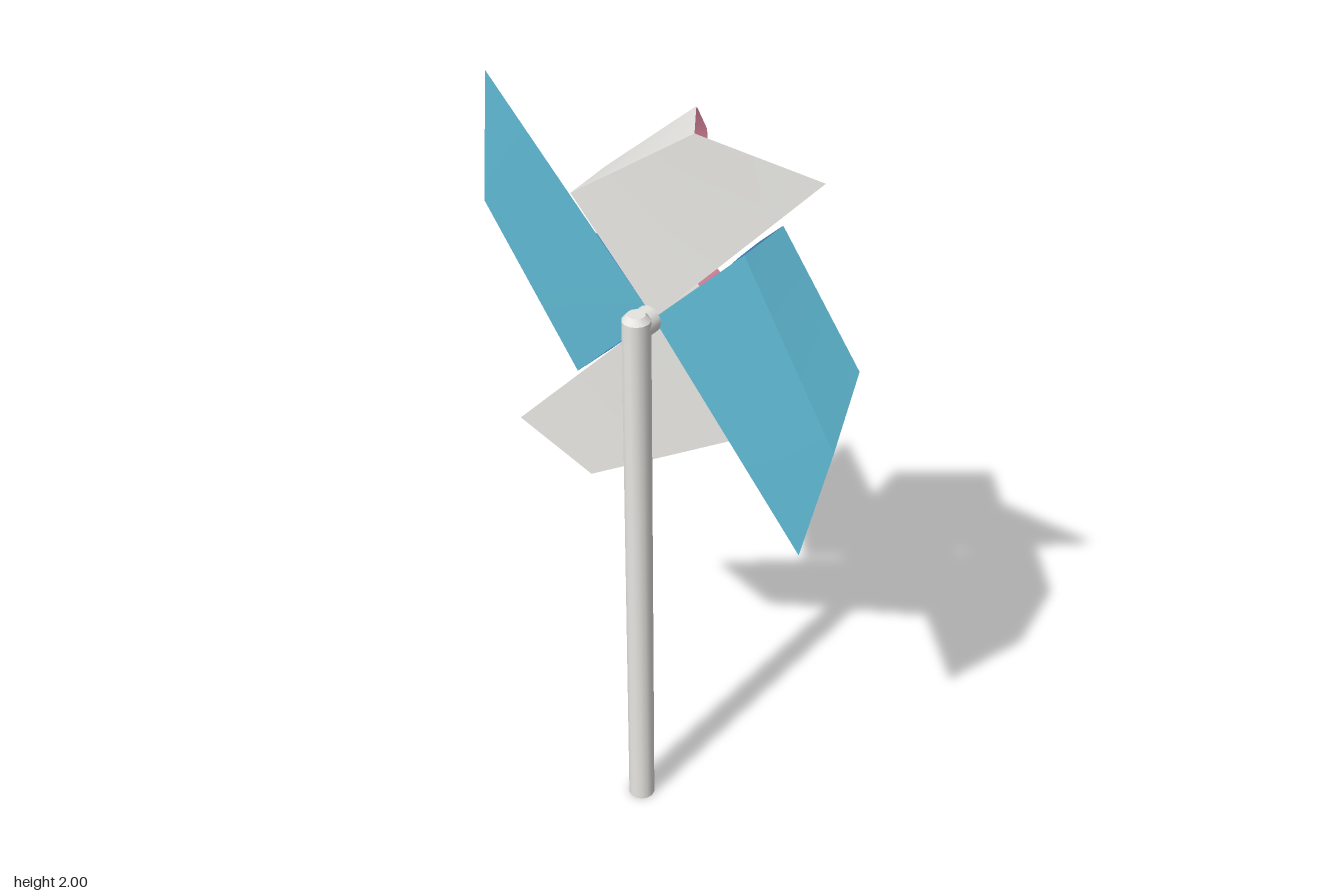
import * as THREE from 'three';
import { toCreasedNormals } from 'three/addons/utils/BufferGeometryUtils.js';

const HUB_Y = 1.5;
const mat = (color) => new THREE.MeshStandardMaterial({ color });
const WHITE = mat(0xe6e5e1), PINK = mat(0xe08aa2), BLUE = mat(0x3f86c0), CYAN = mat(0x5fb9d3);

function add(group, name, geometry, material) {
  const mesh = new THREE.Mesh(geometry, material);
  mesh.name = name;
  group.add(mesh);
  return mesh;
}

// One side of a curled paper sail, ruled between the rim edge and the inner edge.
// Points are [x, u, v]: x along the axle, u and v across the wheel.
function sailSide(rows, turn, inside) {
  const c = Math.cos(turn), s = Math.sin(turn), n = 4;
  const position = [], index = [];
  for (const [rim, inner] of rows) {
    for (let j = 0; j <= n; j++) {
      const [x, u, v] = rim.map((a, k) => a + (inner[k] - a) * j / n);
      position.push(x, HUB_Y - u * s + v * c, -(u * c + v * s));
    }
  }
  for (let i = 0; i < rows.length - 1; i++) {
    for (let j = 0; j < n; j++) {
      const a = i * (n + 1) + j, b = a + 1, d = a + n + 1, e = d + 1;
      if (inside) index.push(a, b, d, b, e, d);
      else index.push(a, d, b, b, d, e);
    }
  }
  const geo = new THREE.BufferGeometry();
  geo.setAttribute('position', new THREE.Float32BufferAttribute(position, 3));
  geo.setIndex(index);
  if (inside) {
    // paper thickness
    geo.computeVertexNormals();
    const p = geo.attributes.position, m = geo.attributes.normal;
    for (let i = 0; i < p.count; i++) {
      p.setXYZ(i, p.getX(i) + m.getX(i) * 0.003, p.getY(i) + m.getY(i) * 0.003, p.getZ(i) + m.getZ(i) * 0.003);
    }
  }
  return toCreasedNormals(geo, 0.6);
}

export function createModel() {
  const model = new THREE.Group();
  model.name = 'pinwheel';

  // Stick with a slightly bevelled top, and the short arm that carries the wheel
  const profile = [[0, 0], [0.035, 0], [0.035, 1.515], [0.022, 1.53], [0, 1.53]]
    .map(([r, y]) => new THREE.Vector2(r, y));
  const stick = add(model, 'stick', toCreasedNormals(new THREE.LatheGeometry(profile, 14), 0.6), WHITE);
  stick.position.set(-0.113, 0, -0.013);
  const arm = add(model, 'stickArm', new THREE.CylinderGeometry(0.034, 0.034, 0.055, 14), WHITE);
  arm.rotation.z = Math.PI / 2;
  arm.position.set(-0.088, 1.494, -0.013);

  // Axle and hub button
  const axle = add(model, 'axle', new THREE.CylinderGeometry(0.01, 0.01, 0.17, 10), WHITE);
  axle.rotation.z = Math.PI / 2;
  axle.position.set(0.02, HUB_Y, 0);
  const rim = add(model, 'hubRim', new THREE.CylinderGeometry(0.062, 0.062, 0.03, 24), PINK);
  rim.rotation.z = Math.PI / 2;
  rim.position.set(0.12, HUB_Y, 0);
  const face = add(model, 'hubFace', new THREE.CylinderGeometry(0.055, 0.055, 0.004, 24), WHITE);
  face.rotation.z = Math.PI / 2;
  face.position.set(0.136, HUB_Y, 0);

  // Four sails, clockwise from the top: tip, back crease and front crease on the rim
  const sails = [
    [[-0.44, 0.485], [-0.11, 0.5], [0, 0.47]],
    [[-0.48, 0.48], [-0.14, 0.505], [-0.02, 0.47]],
    [[-0.43, 0.46], [-0.2, 0.535], [-0.03, 0.48]],
    [[-0.5, 0.42], [-0.17, 0.5], [-0.05, 0.46]],
  ];
  sails.forEach(([tip, back, front], k) => {
    const u = front[0];
    const rows = [
      [[-0.06, ...tip], [-0.065, 0, 0]],
      [[-0.063, ...back], [-0.055, 0.245, 0.24]],
      [[0.095, ...front], [0.088, 0.255, 0.245]],
      [[0.138, u, 0.4], [0.126, 0.215, 0.205]],
      [[0.143, u * 0.6 - 0.005, 0.3], [0.138, 0.16, 0.15]],
      [[0.14, u * 0.4 - 0.012, 0.2], [0.137, 0.105, 0.1]],
      [[0.128, -0.016, 0.1], [0.127, 0.05, 0.055]],
      [[0.112, -0.005, 0], [0.112, 0.005, 0]],
    ];
    const sail = new THREE.Group();
    sail.name = 'sail' + (k + 1);
    const turn = k * Math.PI / 2;
    add(sail, 'sailOutside', sailSide(rows, turn, false), k % 2 ? CYAN : WHITE);
    add(sail, 'sailInside', sailSide(rows, turn, true), k % 2 ? BLUE : PINK);
    model.add(sail);
  });
  return model;
}
